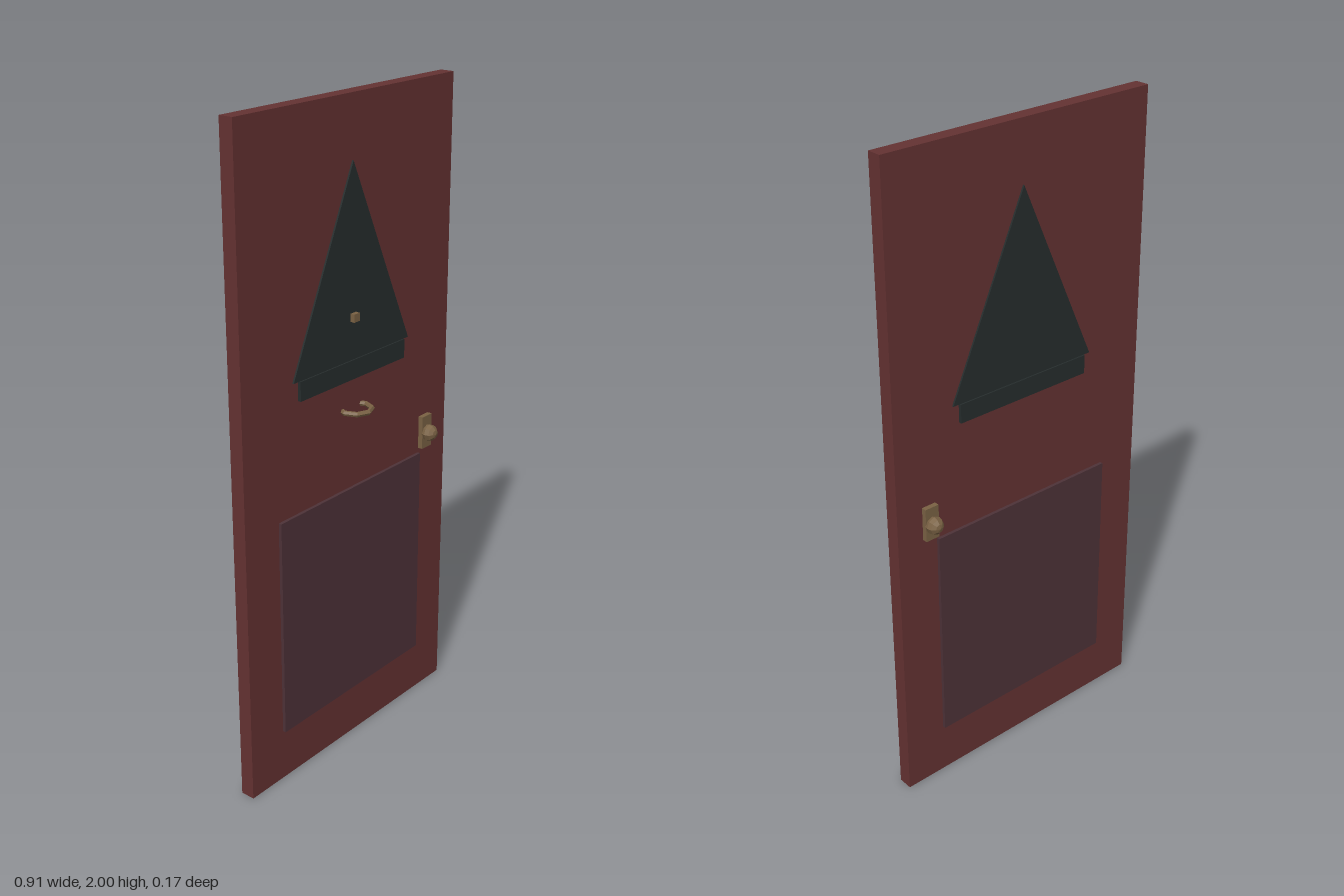
import * as THREE from 'three';

const MID = -0.01; // centre plane of the door leaf

export function createModel() {
  const model = new THREE.Group();
  const paint = (color) => new THREE.MeshStandardMaterial({ color, flatShading: true });
  const red = paint(0x643232);
  const plum = paint(0x4d3238);
  const slate = paint(0x262d2d);
  const brass = paint(0x7a6244);

  function add(name, geometry, material, x, y, z = MID) {
    const mesh = new THREE.Mesh(geometry, material);
    mesh.name = name;
    mesh.position.set(x, y, z);
    model.add(mesh);
    return mesh;
  }

  // Door leaf and the raised lower panel, which shows on both faces
  add('doorLeaf', new THREE.BoxGeometry(0.914, 2, 0.045), red, 0, 1);
  add('lowerPanel', new THREE.BoxGeometry(0.642, 0.69, 0.065), plum, 0, 0.51);

  // Triangular window with its sill, going through the leaf
  const triangle = new THREE.Shape([
    new THREE.Vector2(-0.255, 1.253),
    new THREE.Vector2(0.255, 1.253),
    new THREE.Vector2(0, 1.82),
  ]);
  const windowGeometry = new THREE.ExtrudeGeometry(triangle, { depth: 0.056, bevelEnabled: false });
  add('triangularWindow', windowGeometry, slate, 0, 0, MID - 0.028);
  add('windowSill', new THREE.BoxGeometry(0.464, 0.058, 0.065), slate, 0, 1.224);

  // Peephole stud
  add('peephole', new THREE.BoxGeometry(0.024, 0.024, 0.024), brass, -0.001, 1.38, 0.02);

  // Knocker ring, its back half sunk into the leaf
  const ring = new THREE.TorusGeometry(0.048, 0.008, 6, 8);
  add('knocker', ring, brass, 0, 1.105, 0.026).rotation.x = Math.PI / 2;

  // Lock plate, spindle and knob on each face
  for (const [side, label] of [[1, 'front'], [-1, 'back']]) {
    add(label + 'LockPlate', new THREE.BoxGeometry(0.046, 0.105, 0.026), brass, 0.347, 0.922, MID + side * 0.025);
    const spindle = add(label + 'Spindle', new THREE.CylinderGeometry(0.011, 0.011, 0.03, 6), brass, 0.347, 0.92, MID + side * 0.04);
    spindle.rotation.x = Math.PI / 2;
    const knob = add(label + 'Knob', new THREE.SphereGeometry(0.027, 8, 6), brass, 0.347, 0.92, MID + side * 0.047);
    knob.rotation.x = Math.PI / 2;
  }

  return model;
}
